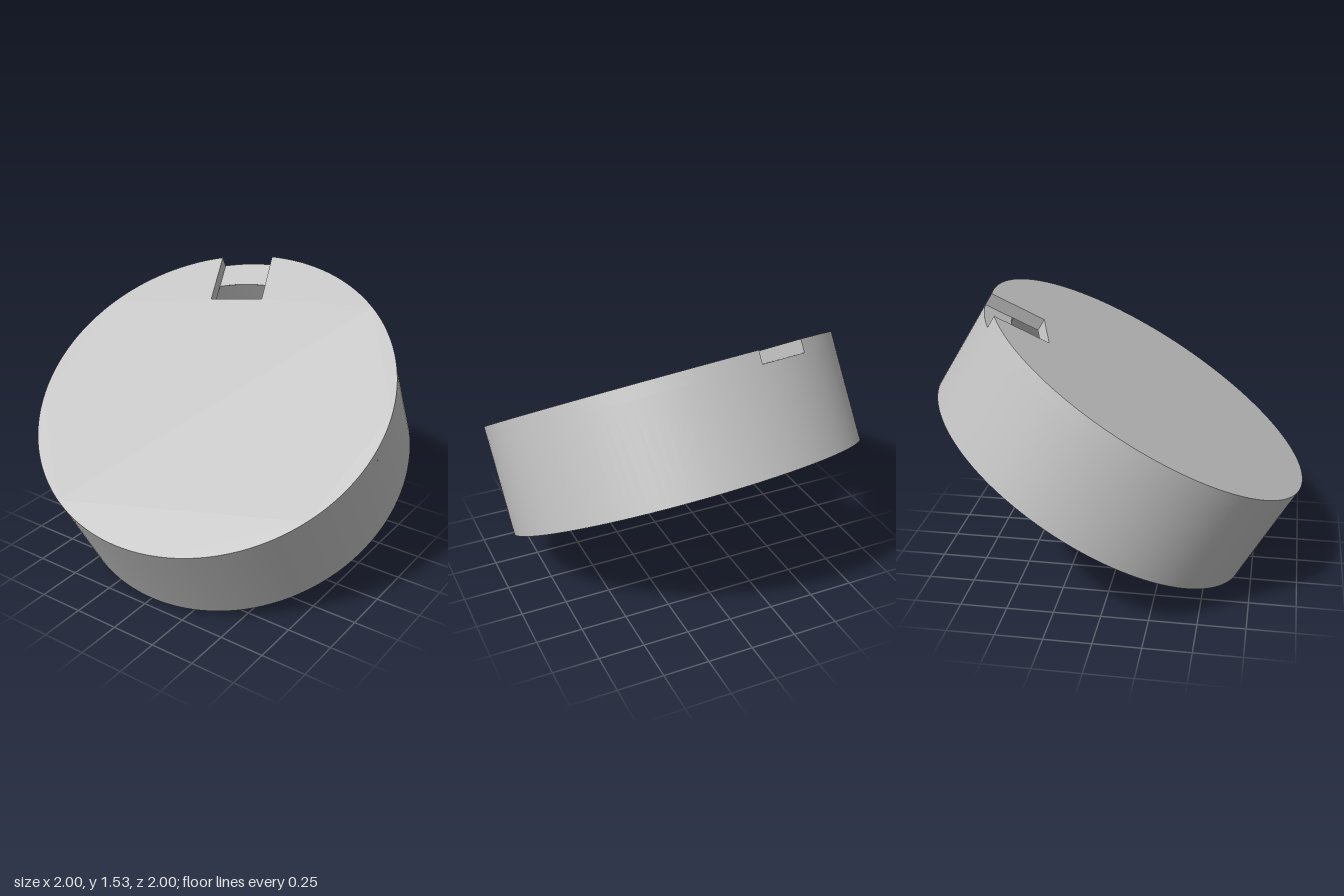
import * as THREE from 'three';
import { toCreasedNormals } from 'three/addons/utils/BufferGeometryUtils.js';

const R = 0.984;          // outer radius
const INNER = 0.826;      // cavity radius
const HEIGHT = 0.6;
const LID = 0.07;         // thickness of the closed end
const SLOT_HALF = 0.15;   // half width of the rim slot
const SLOT_START = 0.656; // distance of the slot's inner end from the axis
const SEGMENTS = 128;

export function createModel() {
  const grey = new THREE.MeshStandardMaterial({ color: 0xc0c0c0 });
  grey.name = 'plain grey';

  const model = new THREE.Group();
  model.name = 'tiltedCap';
  const add = (name, geometry, y) => {
    const mesh = new THREE.Mesh(geometry, grey);
    mesh.name = name;
    mesh.position.y = y;
    model.add(mesh);
  };
  const bottom = -HEIGHT / 2;
  const lidBase = HEIGHT / 2 - LID;

  // Skirt: inner wall, bottom rim and outer wall in one turned profile
  const profile = [[INNER, lidBase], [INNER, bottom], [R, bottom], [R, lidBase]]
    .map(([x, y]) => new THREE.Vector2(x, y));
  add('skirt', toCreasedNormals(new THREE.LatheGeometry(profile, SEGMENTS), 0.5), 0);

  // Lid: disc with a rectangular slot cut in from the rim
  const outerAngle = Math.asin(SLOT_HALF / R);
  const lid = new THREE.Shape();
  lid.moveTo(SLOT_START, -SLOT_HALF);
  lid.lineTo(SLOT_START, SLOT_HALF);
  lid.absarc(0, 0, R, outerAngle, Math.PI * 2 - outerAngle, false);
  lid.closePath();
  const lidGeometry = new THREE.ExtrudeGeometry(lid, {
    depth: LID, bevelEnabled: false, curveSegments: SEGMENTS,
  });
  lidGeometry.rotateX(-Math.PI / 2);
  add('slottedLid', toCreasedNormals(lidGeometry, 0.5), lidBase);

  // Slot floor: the top of the wall exposed inside the slot
  const innerAngle = Math.asin(SLOT_HALF / INNER);
  const floor = new THREE.Shape();
  floor.absarc(0, 0, R, -outerAngle, outerAngle, false);
  floor.absarc(0, 0, INNER, innerAngle, -innerAngle, true);
  floor.closePath();
  const floorGeometry = new THREE.ShapeGeometry(floor, 16);
  floorGeometry.rotateX(-Math.PI / 2);
  add('slotFloor', floorGeometry, lidBase);

  // Tilt the cap: local y is the axis, local x points at the slot
  const axis = new THREE.Vector3(-0.512, 0.857, 0.058).normalize();
  const slotDir = new THREE.Vector3(0.804, 0.506, -0.3125);
  slotDir.addScaledVector(axis, -slotDir.dot(axis)).normalize();
  const side = new THREE.Vector3().crossVectors(slotDir, axis);
  model.quaternion.setFromRotationMatrix(new THREE.Matrix4().makeBasis(slotDir, axis, side));
  model.position.y = 0.764;

  const root = new THREE.Group();
  root.name = 'cap';
  root.add(model);
  return root;
}
